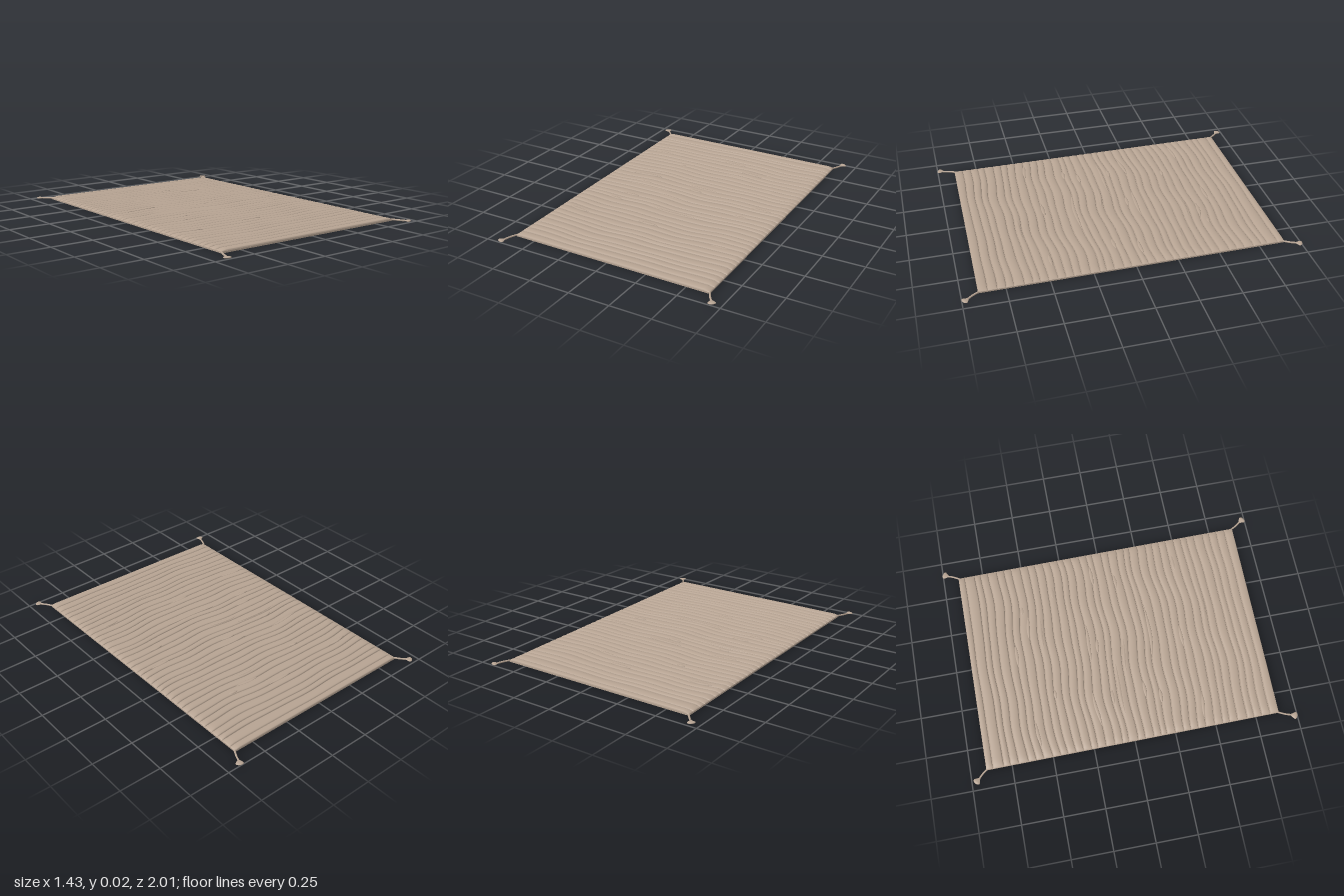
import * as THREE from 'three';

const wool = new THREE.MeshStandardMaterial({ color: 0xb6a392 });
wool.name = 'taupe wool';

// rug outline: corners in x, z order back left, back right, front right, front left
const corners = [[-0.642, -0.905], [0.626, -0.905], [0.642, 0.905], [-0.627, 0.893]];
const lerp = THREE.MathUtils.lerp;
const base = 0.009, ribTop = 0.021;

let seed = 7;
const rand = () => (seed = (seed * 16807) % 2147483647) / 2147483647;

// gentle waves that fade out at both ends
function wave(x, z) {
  const fade = 1 - Math.pow(Math.min(1, Math.abs(z) / 0.9), 6);
  return fade * (0.009 * Math.sin(5.2 * x + 2.3 * z + 0.6) + 0.006 * Math.sin(11 * x - 4 * z + 1)
    + 0.003 * Math.sin(19 * x + 9 * z));
}

// maps u (left to right) and t (back to front) to a floor position
function place(u, t) {
  const z0 = lerp(-0.905, lerp(0.893, 0.905, u), t);
  const x = lerp(lerp(corners[0][0], corners[3][0], t), lerp(corners[1][0], corners[2][0], t), u);
  return [x, z0 + wave(x, z0)];
}

// upward facing surface over a grid of u and v values
function sheet(us, vs, fn) {
  const pos = [], index = [], n = vs.length;
  us.forEach(u => vs.forEach(v => pos.push(...fn(u, v))));
  for (let i = 0; i < us.length - 1; i++) {
    for (let j = 0; j < n - 1; j++) {
      const a = i * n + j, b = a + n;
      index.push(a, a + 1, b, b, a + 1, b + 1);
    }
  }
  const g = new THREE.BufferGeometry();
  g.setAttribute('position', new THREE.Float32BufferAttribute(pos, 3));
  g.setIndex(index);
  g.computeVertexNormals();
  return g;
}

function add(parent, name, geometry) {
  const mesh = new THREE.Mesh(geometry, wool);
  mesh.name = name;
  parent.add(mesh);
  return mesh;
}

function addGroup(parent, name) {
  const group = new THREE.Group();
  group.name = name;
  parent.add(group);
  return group;
}

const range = (n, a = 0, b = 1) => Array.from({ length: n + 1 }, (_, i) => lerp(a, b, i / n));

export function createModel() {
  const rug = new THREE.Group();
  rug.name = 'rug';

  // flat backing
  const outline = new THREE.Shape(corners.map(([x, z]) => new THREE.Vector2(x, -z)));
  const backing = new THREE.ExtrudeGeometry(outline, { depth: base, bevelEnabled: false });
  backing.rotateX(-Math.PI / 2);
  add(rug, 'backing', backing);

  // wavy ribs with steep flanks, rounded off at the side edges
  const us = [0, 0.002, 0.006, 0.015, ...range(44, 0.028, 0.972), 0.985, 0.994, 0.998, 1];
  const edge = u => Math.sqrt(Math.min(1, Math.min(u, 1 - u) / 0.028));
  const across = [0, 0.03, 0.08, 0.18, 0.34, 0.5, 0.66, 0.82, 0.92, 0.97, 1];
  const count = 37, gap = 0.0007;
  const bounds = range(count).map((t, i) => (i && i < count ? t + (rand() - 0.5) * 0.009 : t));
  const ribs = addGroup(rug, 'ribs');
  for (let i = 0; i < count; i++) {
    const a = bounds[i] + (i ? gap : 0), b = bounds[i + 1] - (i < count - 1 ? gap : 0);
    add(ribs, 'rib', sheet(us, across, (u, v) => {
      const [x, z] = place(u, lerp(a, b, v));
      const arch = Math.pow(Math.max(0, Math.sin(Math.PI * v)), 0.3);
      return [x, base + (ribTop - base) * arch * edge(u), z];
    }));
  }

  // short lens-shaped ribs: x, z, half length
  const lenses = [
    [0.03, -0.61, 0.08], [-0.49, -0.56, 0.08], [0.2, -0.515, 0.08], [0.32, -0.55, 0.03],
    [0.15, -0.44, 0.14], [-0.26, -0.41, 0.03], [0.41, -0.34, 0.05], [-0.4, -0.18, 0.11],
    [0.03, -0.17, 0.13], [0, -0.12, 0.05], [-0.34, -0.065, 0.05], [0.48, -0.07, 0.07],
    [-0.3, -0.02, 0.18], [-0.09, 0.04, 0.13], [0.41, 0.08, 0.05], [-0.33, 0.125, 0.06],
    [-0.39, 0.21, 0.05], [0.03, 0.215, 0.19], [-0.03, 0.41, 0.07], [-0.5, 0.455, 0.08],
    [0.47, 0.48, 0.06], [0.14, 0.585, 0.13],
  ];
  const shortRibs = addGroup(rug, 'shortRibs');
  for (const [cx, cz, half] of lenses) {
    add(shortRibs, 'shortRib', sheet(range(16, -1, 1), [-1, -0.92, -0.75, -0.4, 0, 0.4, 0.75, 0.92, 1], (u, v) => {
      const x = cx + u * half, taper = 1 - u * u;
      const y = 0.016 + 0.0065 * Math.pow((1 - v * v) * taper, 0.3);
      return [x, y, cz + wave(x, cz) + v * 0.011 * taper];
    }));
  }

  // corner tassels: cord from the corner to a flattened tuft
  const ends = [[-0.683, -0.952], [0.655, -0.966], [0.68, 0.963], [-0.655, 0.963]];
  const profile = [[0, 0], [0.006, 0], [0.012, 0.008], [0.022, 0.022], [0.022, 0.03], [0.012, 0.037], [0, 0.039]]
    .map(([r, y]) => new THREE.Vector2(r, y));
  ends.forEach(([ex, ez], i) => {
    const tassel = addGroup(rug, 'tassel');
    const [cx, cz] = corners[i];
    const dx = ex - cx, dz = ez - cz;
    const path = new THREE.CatmullRomCurve3([
      new THREE.Vector3(cx - dx * 0.1, 0.008, cz - dz * 0.1),
      new THREE.Vector3(cx + dx * 0.55 - dz * 0.04, 0.007, cz + dz * 0.55 + dx * 0.04),
      new THREE.Vector3(ex + dx * 0.05, 0.006, ez + dz * 0.05),
    ]);
    add(tassel, 'cord', new THREE.TubeGeometry(path, 8, 0.0055, 8));
    const tuft = new THREE.LatheGeometry(profile, 14);
    tuft.rotateX(Math.PI / 2);
    tuft.scale(1, 0.26, 1);
    tuft.rotateY(Math.atan2(dx, dz));
    add(tassel, 'tuft', tuft).position.set(ex, 0.0065, ez);
  });

  return rug;
}
